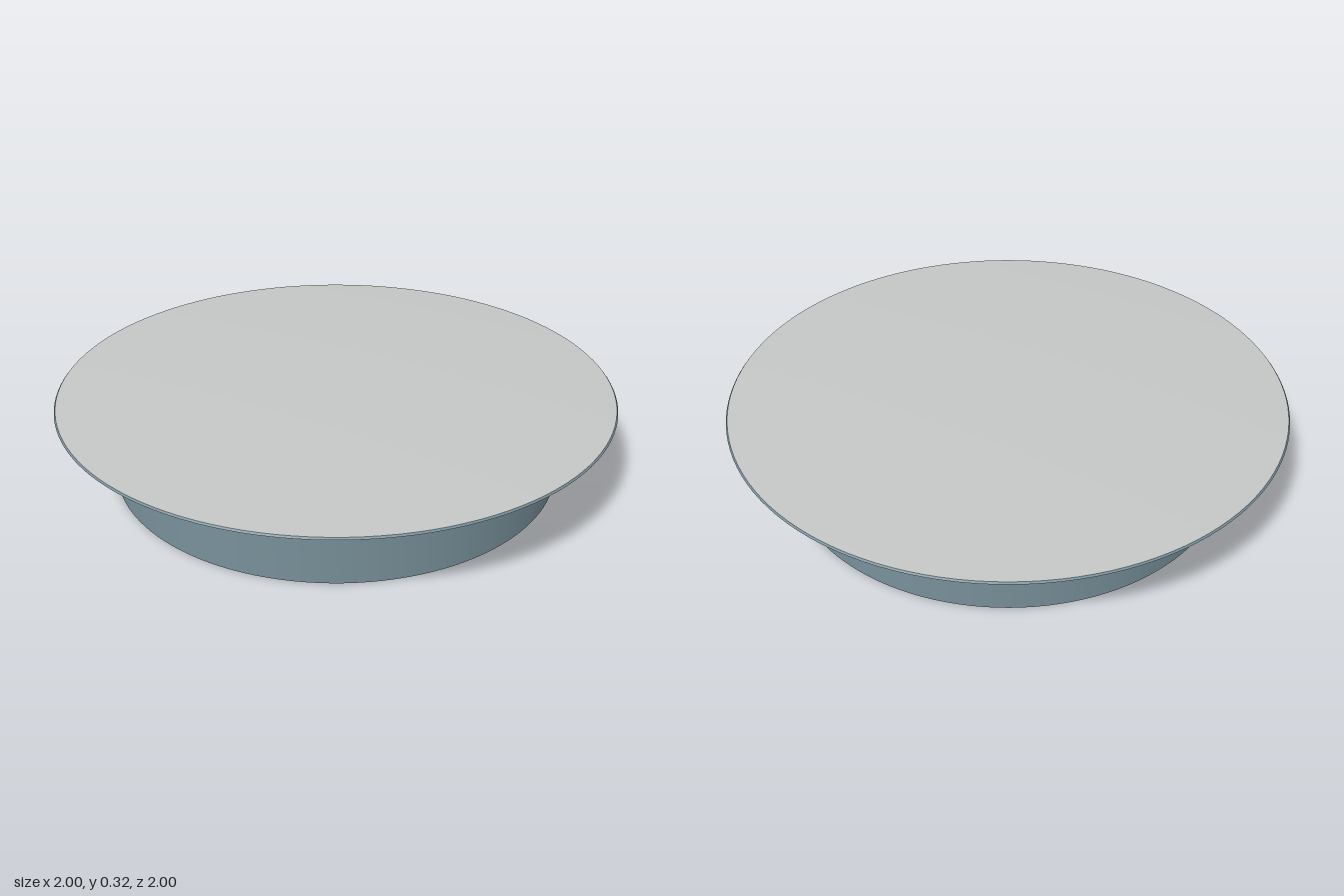
import * as THREE from 'three';
import { toCreasedNormals } from 'three/addons/utils/BufferGeometryUtils.js';

const SEGMENTS = 128;

// Turned part from [radius, height] pairs, with crisp corners
function turned(name, profile, material) {
  const points = profile.map(([r, y]) => new THREE.Vector2(r, y));
  const geometry = toCreasedNormals(new THREE.LatheGeometry(points, SEGMENTS), 0.4);
  const mesh = new THREE.Mesh(geometry, material);
  mesh.name = name;
  return mesh;
}

export function createModel() {
  const lightGrey = new THREE.MeshStandardMaterial({ color: 0xc5c7c7 });
  lightGrey.name = 'light grey';
  const slate = new THREE.MeshStandardMaterial({ color: 0x78909a });
  slate.name = 'slate blue';
  const warmGrey = new THREE.MeshStandardMaterial({ color: 0xcfc8bd });
  warmGrey.name = 'warm grey';

  const group = new THREE.Group();
  group.name = 'roundCap';

  // Shallow domed top, from the rim to the centre
  const dome = [];
  for (let i = 0; i <= 12; i++) {
    const r = 0.995 * (1 - i / 12);
    dome.push([r, 0.32 - 0.024 * (r / 0.995) ** 2]);
  }
  group.add(turned('domedTop', dome, lightGrey));

  // Flange underside and its thin outer edge
  group.add(turned('flange', [[0.805, 0.275], [0.85, 0.276], [0.99, 0.285], [1, 0.29], [0.995, 0.296]], slate));

  // Thin skirt wall, open at the bottom
  group.add(turned('skirt', [[0.808, 0.28], [0.808, 0], [0.815, 0], [0.815, 0.278]], slate));

  // Inner ceiling with a shallow stepped recess
  group.add(turned('innerCeiling', [
    [0, 0.286], [0.52, 0.286], [0.52, 0.284], [0.57, 0.284], [0.57, 0.278], [0.81, 0.278],
  ], warmGrey));

  return group;
}
